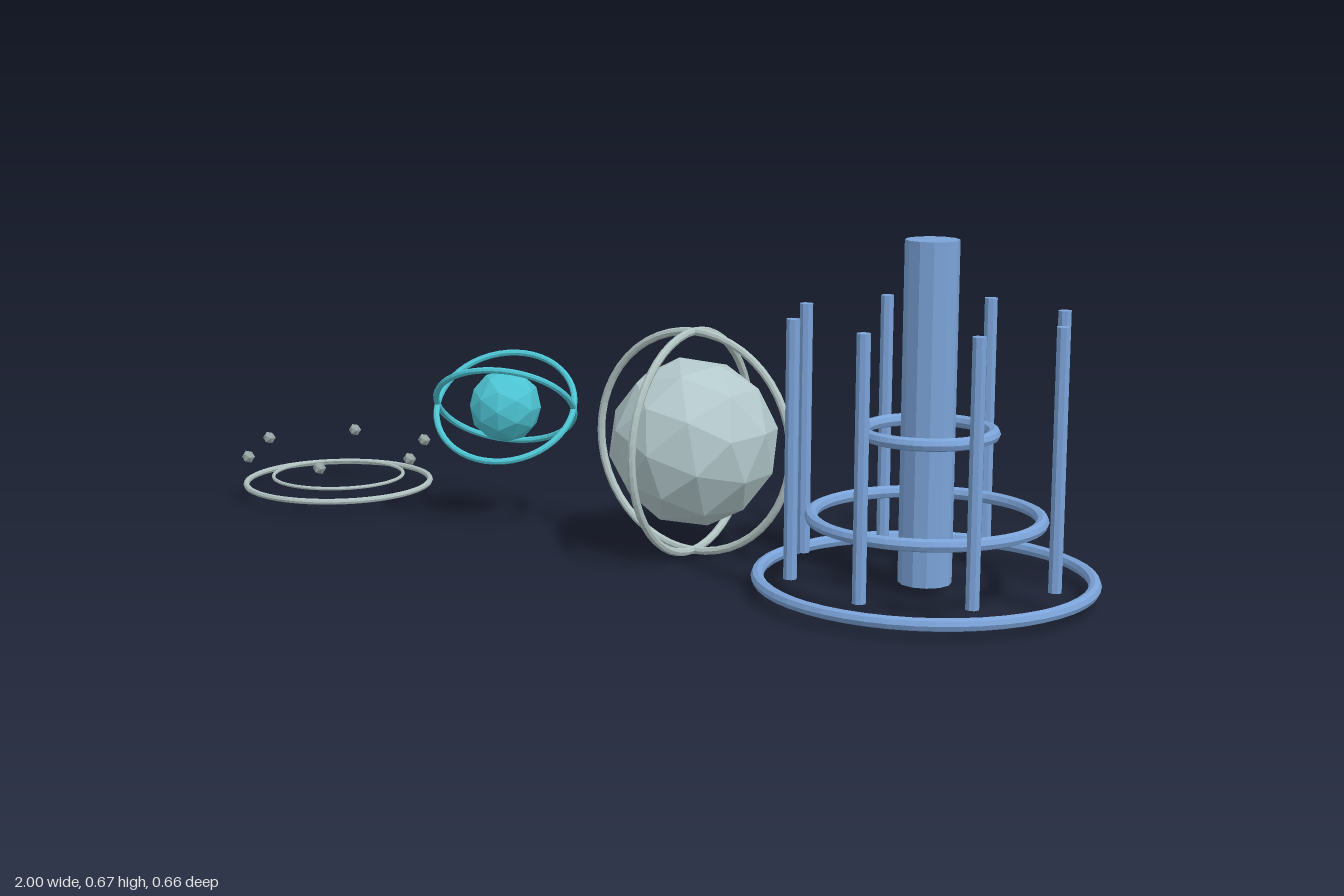
import * as THREE from 'three';

export function createModel() {
  const root = new THREE.Group();
  const mat = (name, color) => {
    const m = new THREE.MeshStandardMaterial({ color, flatShading: true });
    m.name = name;
    return m;
  };
  const blue = mat('blue', 0x7ba3d8);
  const teal = mat('teal', 0x4cc3d2);
  const paleGrey = mat('pale grey', 0xb4c9cc);
  const ringGrey = mat('ring grey', 0xb0c2c1);
  const dotGrey = mat('dot grey', 0x98a5a5);

  const add = (parent, name, geo, material, x = 0, y = 0, z = 0) => {
    const m = new THREE.Mesh(geo, material);
    m.name = name;
    m.position.set(x, y, z);
    parent.add(m);
    return m;
  };
  const group = (name, x, y) => {
    const g = new THREE.Group();
    g.name = name;
    g.position.set(x, y, 0);
    root.add(g);
    return g;
  };
  const ring = (r, tube) => new THREE.TorusGeometry(r, tube, 8, 48);

  // Tower: column, three stacked rings and a circle of posts
  const tower = group('tower', 0.672, 0);
  add(tower, 'column', new THREE.CylinderGeometry(0.051, 0.051, 0.65, 12), blue, 0, 0.35);
  for (const [r, y] of [[0.316, 0.033], [0.216, 0.15], [0.122, 0.314]]) {
    add(tower, 'towerRing', ring(r, 0.0125), blue, 0, y).rotation.x = Math.PI / 2;
  }
  for (let i = 0; i < 8; i++) {
    const a = (i * Math.PI) / 4;
    add(tower, 'post', new THREE.CylinderGeometry(0.0132, 0.0132, 0.49, 8), blue,
      0.263 * Math.cos(a), 0.29, 0.263 * Math.sin(a));
  }

  // Large faceted ball inside two upright crossed rings
  const globe = group('largeGlobe', 0.155, 0.235);
  add(globe, 'largeBall', new THREE.IcosahedronGeometry(0.171, 1), paleGrey).rotation.z = 0.2;
  for (const turn of [0, Math.PI / 2]) {
    add(globe, 'uprightRing', ring(0.223, 0.008), ringGrey).rotation.y = turn;
  }

  // Small faceted ball inside two tilted rings
  const orb = group('smallOrb', -0.314, 0.257);
  orb.rotation.y = 0.42;
  add(orb, 'smallBall', new THREE.IcosahedronGeometry(0.077, 1), teal);
  for (const side of [-1, 1]) {
    add(orb, 'tiltedRing', ring(0.147, 0.0066), teal).rotation.x = side * 0.86;
  }

  // Flat double ring with six floating beads
  const halo = group('halo', -0.783, 0);
  add(halo, 'outerHaloRing', ring(0.204, 0.0065), ringGrey, 0, 0.036).rotation.x = Math.PI / 2;
  add(halo, 'innerHaloRing', ring(0.144, 0.004), ringGrey, 0, 0.051).rotation.x = Math.PI / 2;
  for (let i = 0; i < 6; i++) {
    const a = (i * Math.PI) / 3;
    add(halo, 'bead', new THREE.IcosahedronGeometry(0.0145, 0), dotGrey,
      0.206 * Math.cos(a), 0.111, 0.206 * Math.sin(a));
  }
  return root;
}
